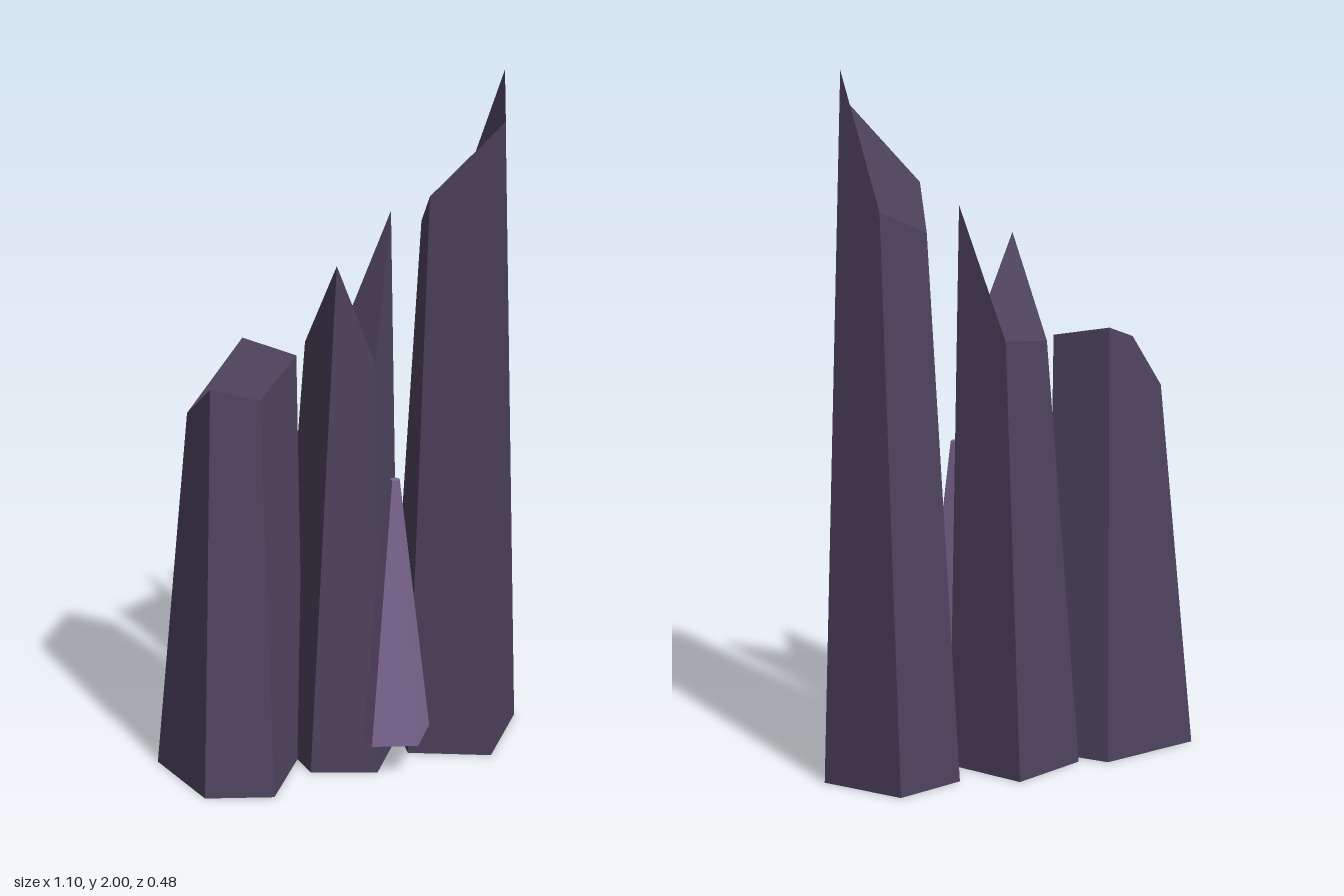
import * as THREE from 'three';

// One flat face: a fan of triangles sharing the averaged polygon normal
function addFace(pts, pos, nor) {
  const n = new THREE.Vector3();
  pts.forEach((p, i) => {
    n.add(new THREE.Vector3().crossVectors(p, pts[(i + 1) % pts.length]));
  });
  n.normalize();
  for (let i = 1; i < pts.length - 1; i++) {
    for (const p of [pts[0], pts[i], pts[i + 1]]) {
      pos.push(p.x, p.y, p.z);
      nor.push(n.x, n.y, n.z);
    }
  }
}

// Tapered crystal between two rings; capStart picks the corner the top folds from
function crystalGeometry(bottom, top, capStart = 0) {
  const b = bottom.map((p) => new THREE.Vector3(...p));
  const t = top.map((p) => new THREE.Vector3(...p));
  const pos = [], nor = [], count = b.length;
  for (let i = 0; i < count; i++) {
    const j = (i + 1) % count;
    addFace([b[i], b[j], t[j], t[i]], pos, nor);
  }
  addFace([...t.slice(capStart), ...t.slice(0, capStart)], pos, nor);
  addFace([...b].reverse(), pos, nor);
  const g = new THREE.BufferGeometry();
  g.setAttribute('position', new THREE.Float32BufferAttribute(pos, 3));
  g.setAttribute('normal', new THREE.Float32BufferAttribute(nor, 3));
  return g;
}

// Corner order: back-left, front-left, front, right, back
const columns = [
  {
    name: 'shortColumn', capStart: 1,
    bottom: [[-0.55, 0, -0.137], [-0.485, 0, 0.116], [-0.297, 0, 0.178], [-0.124, 0, -0.06], [-0.256, 0, -0.196]],
    top: [[-0.436, 1.085, -0.131], [-0.409, 1.2, 0.004], [-0.273, 1.155, 0.025], [-0.135, 1.24, -0.065], [-0.257, 1.272, -0.172]],
  },
  {
    name: 'middleColumn', capStart: 2,
    bottom: [[-0.18, 0, -0.16], [-0.152, 0, 0.08], [0.03, 0, 0.148], [0.173, 0, -0.046], [0.035, 0, -0.24]],
    top: [[-0.08, 1.245, -0.148], [-0.05, 1.52, 0.031], [0.057, 1.23, 0.049], [0.15, 1.625, -0.078], [0.068, 1.267, -0.213]],
  },
  {
    name: 'tallColumn', capStart: 2,
    bottom: [[0.19, 0, -0.172], [0.156, 0, 0.07], [0.38, 0, 0.169], [0.547, 0, -0.04], [0.385, 0, -0.225]],
    top: [[0.265, 1.566, -0.137], [0.232, 1.68, 0.004], [0.408, 1.9, 0.107], [0.474, 2, -0.055], [0.418, 1.64, -0.196]],
  },
];

// Regular pentagon ring, counterclockwise from above
function ring(cx, cz, y, r) {
  return Array.from({ length: 5 }, (_, i) => {
    const a = (i / 5) * Math.PI * 2;
    return [cx + r * Math.cos(a), y, cz - r * Math.sin(a)];
  });
}

export function createModel() {
  const group = new THREE.Group();
  group.name = 'crystalCluster';

  const darkStone = new THREE.MeshStandardMaterial({ color: 0x4e435e });
  darkStone.name = 'dark purple stone';
  const paleStone = new THREE.MeshStandardMaterial({ color: 0x7c6892 });
  paleStone.name = 'pale purple crystal';

  // Three broken columns
  for (const c of columns) {
    const mesh = new THREE.Mesh(crystalGeometry(c.bottom, c.top, c.capStart), darkStone);
    mesh.name = c.name;
    group.add(mesh);
  }

  // Small pointed shard in front
  const shard = new THREE.Mesh(
    crystalGeometry(ring(0.086, 0.128, 0.115, 0.113), ring(0.086, 0.128, 0.91, 0.014)),
    paleStone
  );
  shard.name = 'smallShard';
  group.add(shard);

  return group;
}
